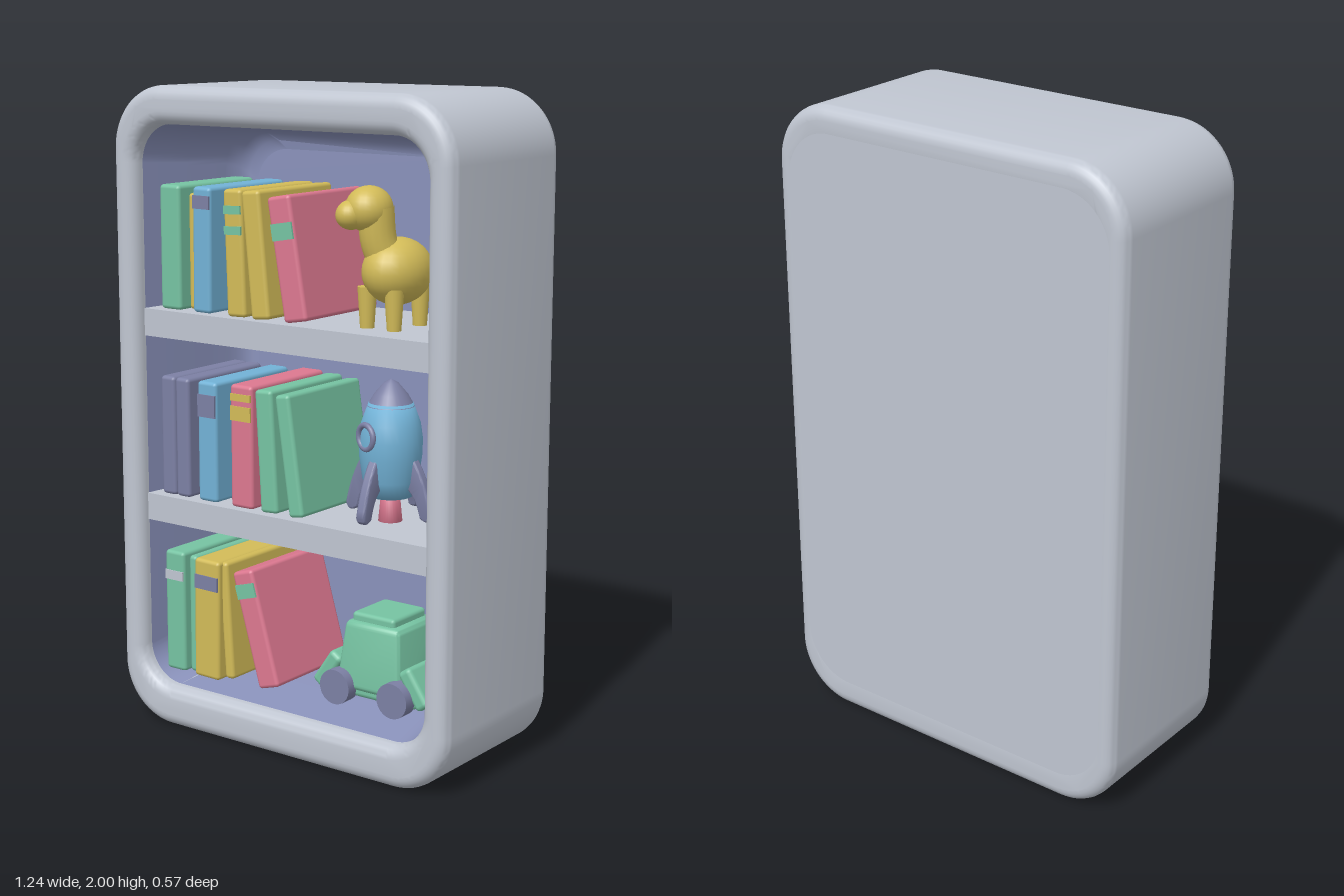
import * as THREE from 'three';
import { toCreasedNormals } from 'three/addons/utils/BufferGeometryUtils.js';
import { RoundedBoxGeometry } from 'three/addons/geometries/RoundedBoxGeometry.js';

const mat = (name, color, side = THREE.FrontSide) => {
  const m = new THREE.MeshStandardMaterial({ color, side });
  m.name = name;
  return m;
};

// Rounded rectangle, counter-clockwise
function roundRect(x0, x1, y0, y1, r) {
  const s = new THREE.Shape();
  s.moveTo(x0 + r, y0);
  s.lineTo(x1 - r, y0);
  s.absarc(x1 - r, y0 + r, r, -Math.PI / 2, 0);
  s.lineTo(x1, y1 - r);
  s.absarc(x1 - r, y1 - r, r, 0, Math.PI / 2);
  s.lineTo(x0 + r, y1);
  s.absarc(x0 + r, y1 - r, r, Math.PI / 2, Math.PI);
  s.lineTo(x0, y0 + r);
  s.absarc(x0 + r, y0 + r, r, Math.PI, Math.PI * 1.5);
  return s;
}
const opening = (inset) => roundRect(-0.535 + inset, 0.532 - inset, 0.13 + inset, 1.885 - inset, 0.12);

export function createModel() {
  const root = new THREE.Group();
  root.name = 'bookcase';
  const grey = mat('pale grey', 0xc0c6d1);
  const lilac = mat('lilac blue', 0x8a92bb, THREE.DoubleSide);
  const slate = mat('slate', 0x7c80a4);
  const green = mat('mint green', 0x76c3a2);
  const yellow = mat('mustard', 0xd2bb58);
  const blue = mat('sky blue', 0x72b2d6);
  const pink = mat('rose', 0xdc7890);

  const add = (name, geo, m, x = 0, y = 0, z = 0, parent = root) => {
    const mesh = new THREE.Mesh(geo, m);
    mesh.name = name;
    mesh.position.set(x, y, z);
    parent.add(mesh);
    return mesh;
  };
  const group = (name, x, y, z) => {
    const g = new THREE.Group();
    g.name = name;
    g.position.set(x, y, z);
    root.add(g);
    return g;
  };

  // Case: bevelled ring and a closing back plate
  const ring = roundRect(-0.62, 0.62, 0, 2, 0.19);
  ring.holes.push(opening(0));
  const bevel = 0.04;
  const ringGeo = new THREE.ExtrudeGeometry(ring, {
    depth: 0.57 - 2 * bevel, bevelEnabled: true, bevelThickness: bevel, bevelSize: bevel,
    bevelOffset: -bevel, bevelSegments: 6, curveSegments: 12,
  });
  add('caseFrame', toCreasedNormals(ringGeo, 0.7), grey, 0, 0, -0.285 + bevel);
  const plate = new THREE.ExtrudeGeometry(roundRect(-0.578, 0.578, 0.042, 1.958, 0.15),
    { depth: 0.06, bevelEnabled: false, curveSegments: 12 });
  add('caseBack', plate, grey, 0, 0, -0.2848);

  // Lining: narrows toward the back and curves into the back panel
  const sections = [[0.235, 0], [0.05, 0.02], [-0.12, 0.033], [-0.17, 0.045], [-0.195, 0.068], [-0.2, 0.095]];
  const pos = [], index = [];
  let count = 0;
  for (const [z, inset] of sections) {
    const pts = opening(inset).getPoints(10);
    count = pts.length;
    pts.forEach((p) => pos.push(p.x, p.y, z));
  }
  for (let s = 0; s < sections.length - 1; s++) {
    for (let i = 0; i < count - 1; i++) {
      const a = s * count + i, b = a + count;
      index.push(a, a + 1, b, a + 1, b + 1, b);
    }
  }
  const lining = new THREE.BufferGeometry();
  lining.setAttribute('position', new THREE.Float32BufferAttribute(pos, 3));
  lining.setIndex(index);
  lining.computeVertexNormals();
  add('lining', lining, lilac);
  add('backPanel', new THREE.ShapeGeometry(opening(0.095), 10), lilac, 0, 0, -0.2);

  // Shelves
  for (const y of [1.278, 0.693]) {
    add('shelf', new THREE.BoxGeometry(1.062, 0.085, 0.44), grey, -0.004, y, 0.02);
  }

  // Books: bottom x, top x, width, base y, height, front z, colour, spine bands [height fraction, size, colour]
  const book = (xb, xt, w, y, h, front, m, bands = []) => {
    const depth = 0.36;
    const g = group('book', (xb + xt) / 2, y + h / 2, front - depth / 2);
    g.rotation.z = -Math.atan2(xt - xb, h);
    add('cover', new RoundedBoxGeometry(w, h, depth, 2, 0.012), m, 0, 0, 0, g);
    for (const [f, size, bm] of bands) {
      add('spineBand', new THREE.BoxGeometry(w * 0.9, size, 0.006), bm, 0, (f - 0.5) * h, depth / 2, g);
    }
  };
  // Top row
  book(-0.445, -0.445, 0.08, 1.322, 0.38, 0.22, green);
  book(-0.382, -0.382, 0.045, 1.322, 0.355, 0.18, yellow);
  book(-0.322, -0.318, 0.07, 1.322, 0.38, 0.22, blue, [[0.88, 0.04, slate]]);
  book(-0.187, -0.2, 0.07, 1.322, 0.38, 0.22, yellow, [[0.84, 0.025, green], [0.68, 0.025, green]]);
  book(-0.095, -0.132, 0.068, 1.322, 0.38, 0.22, yellow);
  book(0.037, -0.028, 0.085, 1.325, 0.37, 0.22, pink, [[0.72, 0.05, green]]);
  // Middle row
  book(-0.465, -0.465, 0.057, 0.737, 0.375, 0.22, slate);
  book(-0.407, -0.407, 0.055, 0.737, 0.375, 0.22, slate);
  book(-0.307, -0.307, 0.075, 0.737, 0.375, 0.22, blue, [[0.8, 0.07, slate]]);
  book(-0.172, -0.172, 0.085, 0.737, 0.38, 0.22, pink, [[0.9, 0.022, yellow], [0.77, 0.045, yellow]]);
  book(-0.067, -0.088, 0.065, 0.737, 0.375, 0.22, green);
  book(0.036, -0.018, 0.054, 0.737, 0.37, 0.22, green);
  // Bottom row
  book(-0.448, -0.448, 0.078, 0.165, 0.39, 0.22, green, [[0.8, 0.03, grey]]);
  book(-0.39, -0.39, 0.032, 0.165, 0.38, 0.2, green);
  book(-0.322, -0.316, 0.1, 0.163, 0.385, 0.22, yellow, [[0.81, 0.045, slate]]);
  book(-0.245, -0.268, 0.035, 0.17, 0.375, 0.2, yellow);
  book(-0.07, -0.178, 0.08, 0.175, 0.37, 0.22, pink, [[0.83, 0.045, green]]);

  // Toy animal
  const animal = group('toyAnimal', 0.29, 1.32, 0.08);
  const ball = (name, x, y, z, rx, ry, rz) =>
    add(name, new THREE.SphereGeometry(1, 24, 16), yellow, x, y, z, animal).scale.set(rx, ry, rz);
  ball('body', 0.005, 0.165, -0.01, 0.095, 0.098, 0.12);
  ball('tail', 0.07, 0.175, -0.07, 0.035, 0.03, 0.045);
  ball('head', -0.05, 0.345, 0.055, 0.068, 0.067, 0.075);
  ball('muzzle', -0.08, 0.33, 0.1, 0.043, 0.043, 0.05);
  const neck = new THREE.CatmullRomCurve3([
    new THREE.Vector3(0.0, 0.16, 0.01), new THREE.Vector3(-0.025, 0.25, 0.04), new THREE.Vector3(-0.03, 0.35, 0.05)]);
  add('neck', new THREE.TubeGeometry(neck, 12, 0.053, 16), yellow, 0, 0, 0, animal);
  for (const x of [-0.055, 0.04]) {
    for (const z of [-0.075, 0.055]) {
      add('leg', new THREE.CylinderGeometry(0.029, 0.021, 0.12, 16), yellow, x, 0.062, z, animal);
    }
  }

  // Toy rocket
  const rocket = group('toyRocket', 0.275, 0.737, 0.07);
  const lathe = (name, pts, m) =>
    add(name, new THREE.LatheGeometry(pts.map((p) => new THREE.Vector2(...p)), 28), m, 0, 0, 0, rocket);
  lathe('hull', [[0, 0.08], [0.065, 0.08], [0.083, 0.13], [0.093, 0.2], [0.095, 0.25], [0.088, 0.3], [0.066, 0.36], [0, 0.362]], blue);
  lathe('noseCone', [[0.07, 0.35], [0.05, 0.385], [0.022, 0.418], [0, 0.43]], slate);
  lathe('nozzle', [[0, 0.003], [0.036, 0.003], [0.028, 0.085], [0, 0.085]], pink);
  const porthole = add('portholeRing', new THREE.TorusGeometry(0.036, 0.009, 10, 24), slate, -0.03, 0.265, 0.083, rocket);
  porthole.rotation.y = -0.33;
  const fin = new THREE.Shape();
  fin.moveTo(0.07, 0.22);
  fin.quadraticCurveTo(0.125, 0.16, 0.152, 0.04);
  fin.quadraticCurveTo(0.145, 0.01, 0.115, 0.03);
  fin.quadraticCurveTo(0.1, 0.09, 0.07, 0.11);
  const finGeo = new THREE.ExtrudeGeometry(fin, {
    depth: 0.014, bevelEnabled: true, bevelSize: 0.006, bevelThickness: 0.008, bevelOffset: -0.003, bevelSegments: 3,
  }).translate(0, 0, -0.007);
  for (let i = 0; i < 4; i++) {
    add('fin', toCreasedNormals(finGeo, 0.7), slate, 0, 0, 0, rocket).rotation.y = i * Math.PI / 2;
  }

  // Toy car
  const car = group('toyCar', 0.255, 0.17, 0.03);
  const cabin = new RoundedBoxGeometry(0.24, 0.21, 0.25, 3, 0.02);
  const p = cabin.attributes.position;
  for (let i = 0; i < p.count; i++) {
    const k = 0.9 - 0.9 * p.getY(i);
    p.setXYZ(i, p.getX(i) * k, p.getY(i), p.getZ(i) * k);
  }
  cabin.computeVertexNormals();
  add('cabin', toCreasedNormals(cabin, 0.6), green, -0.005, 0.15, 0, car);
  add('roof', new RoundedBoxGeometry(0.155, 0.035, 0.17, 2, 0.012), green, -0.01, 0.262, 0, car);
  add('chassis', new RoundedBoxGeometry(0.32, 0.045, 0.22, 2, 0.015), green, 0, 0.045, 0, car);
  for (const side of [-1, 1]) {
    const bumper = add('bumper', new RoundedBoxGeometry(0.05, 0.13, 0.24, 2, 0.015), green, side * 0.158, 0.09, 0, car);
    bumper.rotation.z = side * 0.6;
    for (const z of [-0.115, 0.125]) {
      const wheel = add('wheel', new THREE.CylinderGeometry(0.054, 0.054, 0.05, 24), slate, side * 0.105, 0.054, z, car);
      wheel.rotation.x = Math.PI / 2;
    }
  }
  return root;
}
